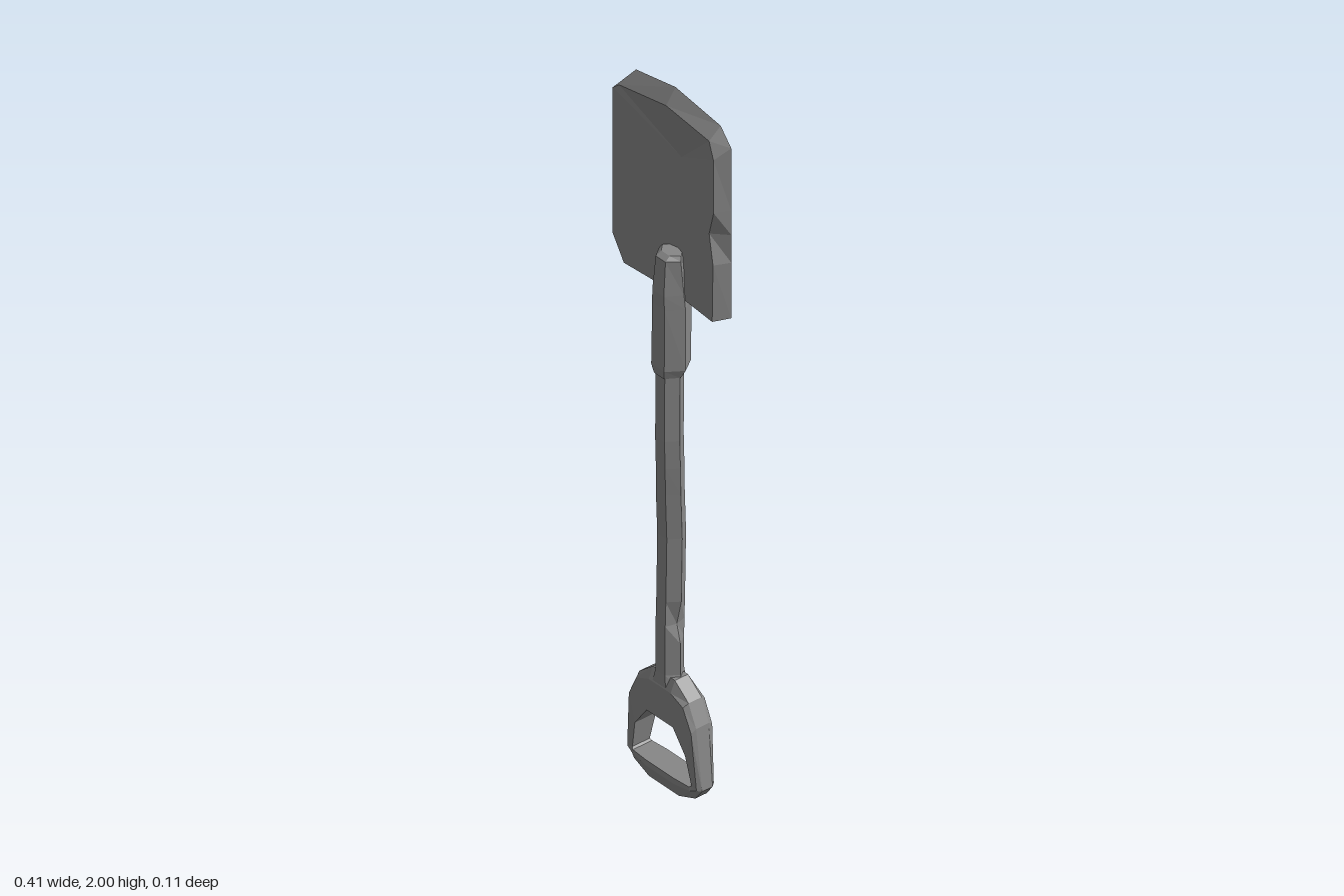
import * as THREE from 'three';

const darkGrey = new THREE.MeshStandardMaterial({ color: 0x878787, flatShading: true });
const v = (p) => new THREE.Vector3(...p);

// Faceted mesh from a list of corner points, three per triangle
function facetMesh(name, points) {
  const geometry = new THREE.BufferGeometry().setFromPoints(points);
  geometry.computeVertexNormals();
  const mesh = new THREE.Mesh(geometry, darkGrey);
  mesh.name = name;
  return mesh;
}

// Triangles of the skin between two neighbouring sections
function skin(a, b) {
  return a.flatMap((p, i) => {
    const j = (i + 1) % a.length;
    return [p, b[i], b[j], p, b[j], a[j]];
  });
}

// Six-sided section, starting at the +x side and turning towards the front
const HEXAGON = [[1, 0], [0.45, 1], [-0.45, 1], [-1, 0], [-0.45, -1], [0.45, -1]];

// Lofts rings of [y, centreX, centreZ, halfWidth, halfDepth, dents {corner: dx}]
function loft(name, rings) {
  const loops = rings.map(([y, cx, cz, rx, rz, dents = {}]) =>
    HEXAGON.map(([u, w], i) => v([cx + u * rx + (dents[i] || 0), y, cz + w * rz])));
  const tris = [];
  for (let k = 0; k + 1 < loops.length; k++) tris.push(...skin(loops[k], loops[k + 1]));
  const bottom = loops[0], top = loops[loops.length - 1];
  for (let i = 1; i < HEXAGON.length - 1; i++) {
    tris.push(bottom[0], bottom[i], bottom[i + 1], top[0], top[i + 1], top[i]);
  }
  return facetMesh(name, tris);
}

// Dished blade: outer edge, raised front rim, hollow front and ridged back
function makeBlade() {
  const edge = [
    [0, 2, 0], [-0.145, 1.975, 0], [-0.205, 1.86, 0], [-0.205, 1.5, 0], [-0.205, 1.44, 0], [0, 1.4, -0.03],
    [0.204, 1.44, 0], [0.204, 1.6, 0], [0.204, 1.68, 0], [0.204, 1.75, 0], [0.204, 1.93, 0], [0.165, 1.975, 0],
  ].map(v);
  const rim = [
    [0, 1.96, 0.03], [-0.17, 1.932, 0.032], [-0.185, 1.92, 0.039], [-0.185, 1.5, 0.039], [-0.15, 1.43, 0.034], [0, 1.405, 0],
    [0.182, 1.436, 0.041], [0.185, 1.6, 0.041], [0.165, 1.68, 0.036], [0.185, 1.75, 0.039], [0.182, 1.9, 0.037], [0.16, 1.942, 0.032],
  ].map(v);
  const hollow = v([0, 1.79, -0.018]);
  const ridgeTop = v([0, 1.78, -0.053]);
  const ridgeBottom = v([0, 1.44, -0.057]);
  const back = edge.map((p, i) => (i === 5 ? ridgeBottom : p));
  const tris = [];
  for (let i = 0; i < edge.length; i++) {
    const j = (i + 1) % edge.length;
    tris.push(edge[i], edge[j], rim[j], edge[i], rim[j], rim[i]);
    tris.push(hollow, rim[i], rim[j]);
    tris.push(ridgeTop, back[j], back[i]);
  }
  // chamfer under the ridge
  tris.push(edge[4], ridgeBottom, edge[5], edge[5], ridgeBottom, edge[6]);
  return facetMesh('blade', tris);
}

// Open D-shaped grip: sections run around the hand hole
function makeGrip() {
  // outer x, y, inner x, y, chamfer share of the width, half depth
  const half = [
    [0.04, 0.325, 0.04, 0.2, 0.25, 0.034],
    [0.09, 0.285, 0.048, 0.2, 0.12, 0.034],
    [0.117, 0.225, 0.092, 0.14, 0.12, 0.033],
    [0.135, 0.052, 0.108, 0.06, 0.3, 0.027],
    [0.112, 0.021, 0.103, 0.055, 0.7, 0.03],
    [0.055, 0, 0.05, 0.055, 0.7, 0.034],
  ];
  const rows = [
    ...half.map(([ox, oy, ix, ...rest]) => [-ox, oy, -ix, ...rest]),
    ...half.slice().reverse(),
  ];
  const midZ = 0.016;
  const sections = rows.map(([ox, oy, ix, iy, t, h]) => {
    const sx = ox + (ix - ox) * t, sy = oy + (iy - oy) * t;
    return [
      [ox, oy, midZ + h * 0.6], [sx, sy, midZ + h], [ix, iy, midZ + h],
      [ix, iy, midZ - h], [sx, sy, midZ - h], [ox, oy, midZ - h * 0.6],
    ].map(v);
  });
  return facetMesh('grip', sections.flatMap((s, k) => skin(s, sections[(k + 1) % sections.length])));
}

export function createModel() {
  const group = new THREE.Group();
  group.name = 'shovel';

  group.add(makeBlade());

  // socket clasping the shaft and running onto the blade
  group.add(loft('socket', [
    [1.19, 0, 0.018, 0.04, 0.034],
    [1.215, 0, 0.014, 0.053, 0.042],
    [1.39, 0, 0.012, 0.05, 0.042],
    [1.43, 0, 0.014, 0.047, 0.041],
    [1.525, 0, 0.018, 0.04, 0.029],
    [1.535, 0, 0.012, 0.034, 0.02],
  ]));

  // slightly crooked shaft with two nicks
  group.add(loft('shaft', [
    [0.29, -0.004, 0.016, 0.055, 0.033],
    [0.33, -0.003, 0.016, 0.039, 0.03],
    [0.42, -0.003, 0.016, 0.039, 0.03],
    [0.47, -0.003, 0.015, 0.039, 0.03, { 0: -0.014 }],
    [0.54, -0.003, 0.013, 0.039, 0.03],
    [0.72, -0.003, 0.01, 0.039, 0.03],
    [0.85, -0.001, 0.016, 0.039, 0.03],
    [0.93, 0.003, 0.02, 0.038, 0.03, { 3: 0.018 }],
    [1.01, 0.003, 0.022, 0.038, 0.03],
    [1.22, 0, 0.018, 0.037, 0.03],
  ]));

  group.add(makeGrip());
  return group;
}
